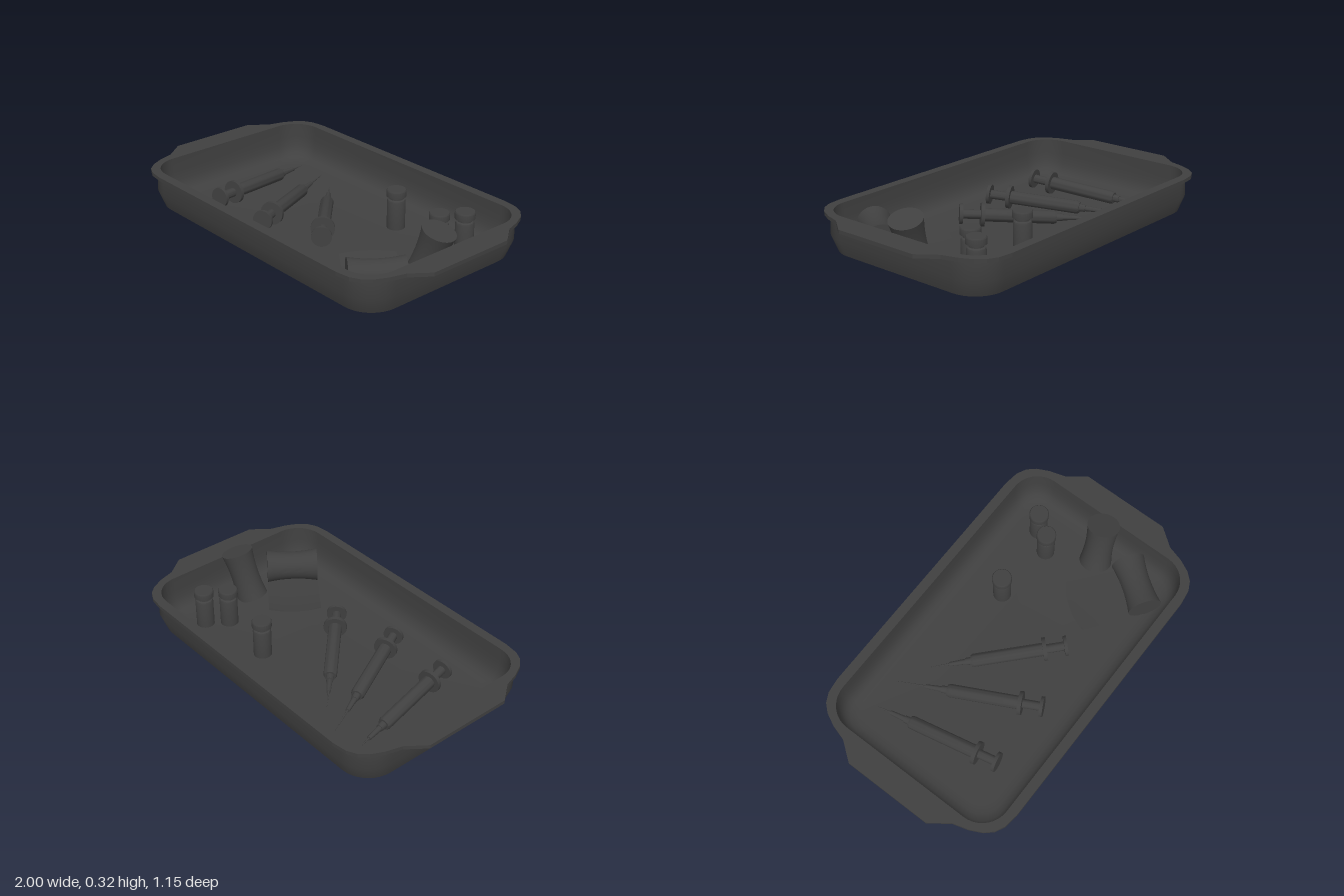
import * as THREE from 'three';
import { toCreasedNormals } from 'three/addons/utils/BufferGeometryUtils.js';

const dark = new THREE.MeshStandardMaterial({ color: 0x404040 });
const darkSheet = new THREE.MeshStandardMaterial({ color: 0x404040, side: THREE.DoubleSide });
const FLOOR = 0.035;
const UP = new THREE.Vector3(0, 1, 0);

function mesh(name, geometry, material = dark) {
  const m = new THREE.Mesh(geometry, material);
  m.name = name;
  return m;
}

// Turned part; the profile is [radius, y] from bottom to top
function turned(name, profile, sides = 28) {
  const points = profile.map(([r, y]) => new THREE.Vector2(r, y));
  return mesh(name, toCreasedNormals(new THREE.LatheGeometry(points, sides), 0.6));
}

// Points of a rounded rectangle in the xz plane
function roundedRing(hx, hz, r, steps = 9) {
  const points = [];
  for (let q = 0; q < 4; q++) {
    const sx = q === 0 || q === 3 ? 1 : -1;
    const sz = q < 2 ? 1 : -1;
    for (let i = 0; i <= steps; i++) {
      const a = (q + i / steps) * Math.PI / 2;
      points.push([sx * (hx - r) + r * Math.cos(a), sz * (hz - r) + r * Math.sin(a)]);
    }
  }
  return points;
}

// Skin through rounded rectangles [halfX, halfZ, cornerRadius, y]
function loft(sections) {
  const positions = [], index = [];
  let n = 0;
  for (const [hx, hz, r, y] of sections) {
    const ring = roundedRing(hx, hz, r);
    n = ring.length;
    for (const [x, z] of ring) positions.push(x, y, z);
  }
  for (let i = 0; i < sections.length - 1; i++) {
    for (let j = 0; j < n; j++) {
      const k = (j + 1) % n;
      const a = i * n + j, b = a + n, c = i * n + k, d = c + n;
      index.push(a, b, c, c, b, d);
    }
  }
  const g = new THREE.BufferGeometry();
  g.setAttribute('position', new THREE.Float32BufferAttribute(positions, 3));
  g.setIndex(index);
  return toCreasedNormals(g, 0.55);
}

function tray() {
  const group = new THREE.Group();
  group.name = 'tray';
  group.add(mesh('trayOuterShell', loft([
    [0.002, 0.002, 0.001, 0.006], [0.78, 0.43, 0.12, 0.008], [0.86, 0.514, 0.16, 0.036],
    [0.886, 0.542, 0.17, 0.12], [0.886, 0.538, 0.17, 0.222],
  ])));
  group.add(mesh('trayInnerShell', loft([
    [0.866, 0.522, 0.15, 0.24], [0.863, 0.52, 0.15, 0.16], [0.857, 0.513, 0.145, 0.11],
    [0.845, 0.5, 0.14, 0.075], [0.825, 0.48, 0.13, 0.052], [0.795, 0.45, 0.12, 0.039],
    [0.76, 0.415, 0.11, FLOOR], [0.002, 0.002, 0.001, FLOOR],
  ])));

  // Flat rim with a handle at each end
  const quarter = [[1, 0.245], [0.925, 0.345], [0.9, 0.43], [0.868, 0.495], [0.83, 0.537], [0.78, 0.562], [0.7, 0.573]];
  const flip = (sx, sz) => quarter.map(([x, z]) => new THREE.Vector2(sx * x, sz * z));
  const rim = new THREE.Shape([
    ...flip(1, 1), ...flip(-1, 1).reverse(), ...flip(-1, -1), ...flip(1, -1).reverse(),
  ]);
  rim.holes.push(new THREE.Path(roundedRing(0.866, 0.522, 0.15).map(([x, z]) => new THREE.Vector2(x, z)).reverse()));
  const g = new THREE.ExtrudeGeometry(rim, { depth: 0.02, bevelEnabled: false });
  g.rotateX(Math.PI / 2).translate(0, 0.24, 0);
  group.add(mesh('trayRim', g));
  return group;
}

// Syringe along +y, with the finger flange at its origin
function syringe(needleLength) {
  const group = new THREE.Group();
  group.name = 'syringe';
  group.add(
    turned('syringeBarrel', [[0, -0.01], [0.062, -0.01], [0.062, 0.01], [0.035, 0.01], [0.035, 0.375], [0.03, 0.388], [0, 0.388]]),
    turned('needleHub', [[0.021, 0.385], [0.019, 0.42], [0.015, 0.42], [0.011, 0.505], [0, 0.505]], 16),
    turned('needle', [[0.006, 0.5], [0.001, 0.5 + needleLength]], 10),
    turned('plungerRod', [[0.024, -0.105], [0.024, -0.01]], 16),
    turned('plungerPlate', [[0, -0.12], [0.053, -0.12], [0.053, -0.103], [0, -0.103]]),
  );
  return group;
}

// Small bottle with a crimped cap
function vial() {
  const group = new THREE.Group();
  group.name = 'vial';
  group.add(
    turned('vialBody', [[0, 0], [0.048, 0], [0.048, 0.148], [0.044, 0.158], [0.036, 0.163], [0.036, 0.182]]),
    turned('vialCap', [[0, 0.178], [0.052, 0.178], [0.052, 0.209], [0.048, 0.215], [0, 0.215]]),
  );
  return group;
}

// Bandage roll with a slightly waisted side, centred on its origin
function roll(name, length, radius, waist) {
  const profile = [[0, -length / 2]];
  for (let i = 0; i <= 8; i++) {
    const t = i / 4 - 1;
    profile.push([waist + (radius - waist) * t * t, t * length / 2]);
  }
  profile.push([0, length / 2]);
  return turned(name, profile, 36);
}

// Loose end of the lying bandage: a thin strip curling up at its far edge
function looseStrip(centre, axis) {
  const away = new THREE.Vector3(axis.z, 0, -axis.x).negate();
  const g = new THREE.PlaneGeometry(1, 1, 8, 14);
  const p = g.attributes.position;
  for (let i = 0; i < p.count; i++) {
    const s = p.getX(i), t = p.getY(i) + 0.5;
    const reach = t * (0.345 + 0.025 * (1 - 4 * s * s));
    const v = centre.clone().addScaledVector(axis, s * 0.285).addScaledVector(away, reach);
    p.setXYZ(i, v.x, FLOOR + 0.006 + 0.025 * t * t * t, v.z);
  }
  g.computeVertexNormals();
  return mesh('bandageLooseEnd', g, darkSheet);
}

export function createModel() {
  const model = new THREE.Group();
  model.name = 'medicalTray';
  model.add(tray());

  // Three syringes: flange position, pointing direction, needle length
  for (const [x, z, dx, dz, needle] of [
    [-0.545, 0.2, -0.19, -0.98, 0.08],
    [-0.2, 0.215, -0.437, -0.9, 0.165],
    [0.11, 0.135, -0.715, -0.699, 0.11],
  ]) {
    const s = syringe(needle);
    s.position.set(x, 0.1, z);
    s.quaternion.setFromUnitVectors(UP, new THREE.Vector3(dx, -0.07, dz).normalize());
    model.add(s);
  }

  // Three standing vials
  for (const [x, z] of [[0.245, -0.25], [0.66, -0.32], [0.585, -0.215]]) {
    const v = vial();
    v.position.set(x, FLOOR, z);
    model.add(v);
  }

  // Leaning bandage roll
  const bottom = new THREE.Vector3(0.708, 0.033, 0.032);
  const top = new THREE.Vector3(0.793, 0.293, 0.004);
  const leaning = roll('leaningBandageRoll', bottom.distanceTo(top), 0.087, 0.076);
  leaning.position.copy(bottom).lerp(top, 0.5);
  leaning.quaternion.setFromUnitVectors(UP, top.clone().sub(bottom).normalize());
  model.add(leaning);

  // Lying bandage roll with its loose end
  const axis = new THREE.Vector3(-0.59, 0, 0.81).normalize();
  const centre = new THREE.Vector3(0.69, FLOOR + 0.09, 0.307);
  const lying = roll('lyingBandageRoll', 0.28, 0.09, 0.077);
  lying.position.copy(centre);
  lying.quaternion.setFromUnitVectors(UP, axis);
  model.add(lying, looseStrip(centre, axis));

  return model;
}
